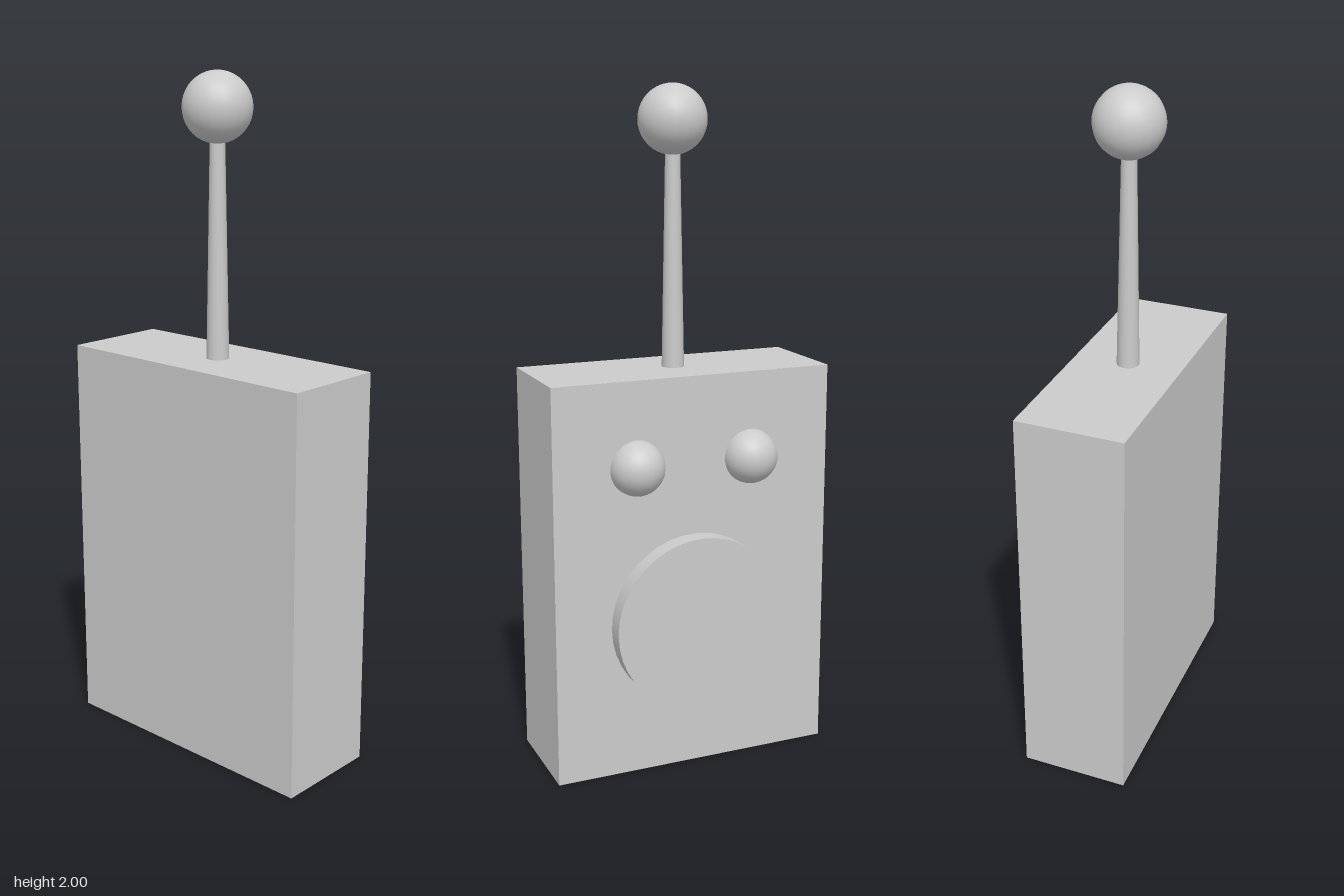
import * as THREE from 'three';

export function createModel() {
  const model = new THREE.Group();
  const material = new THREE.MeshStandardMaterial({ color: 0xcccccc });

  const add = (name, geometry, x, y, z) => {
    const mesh = new THREE.Mesh(geometry, material);
    mesh.name = name;
    mesh.position.set(x, y, z);
    model.add(mesh);
    return mesh;
  };

  const bodyHeight = 1.19;
  const backZ = -0.12;

  // Box-shaped handset
  add('body', new THREE.BoxGeometry(0.86, bodyHeight, 0.32), 0, bodyHeight / 2, 0.04);

  // Tapered antenna, running into the ball at its tip
  const antennaHeight = 0.66;
  add('antenna', new THREE.CylinderGeometry(0.021, 0.033, antennaHeight, 16), 0, bodyHeight + antennaHeight / 2, 0.04);
  add('antennaBall', new THREE.SphereGeometry(0.1, 20, 20), 0, 1.9, 0.04);

  // Round speaker disc on the back face
  const speaker = add('speaker', new THREE.CylinderGeometry(0.26, 0.26, 0.055, 40), 0, 0.46, backZ - 0.0275);
  speaker.rotation.x = -Math.PI / 2;

  // Pair of domed knobs, half sunk into the back face
  for (const side of [-1, 1]) {
    const name = side > 0 ? 'leftKnob' : 'rightKnob';
    add(name, new THREE.SphereGeometry(0.081, 24, 20), side * 0.178, 0.937, backZ);
  }

  return model;
}
